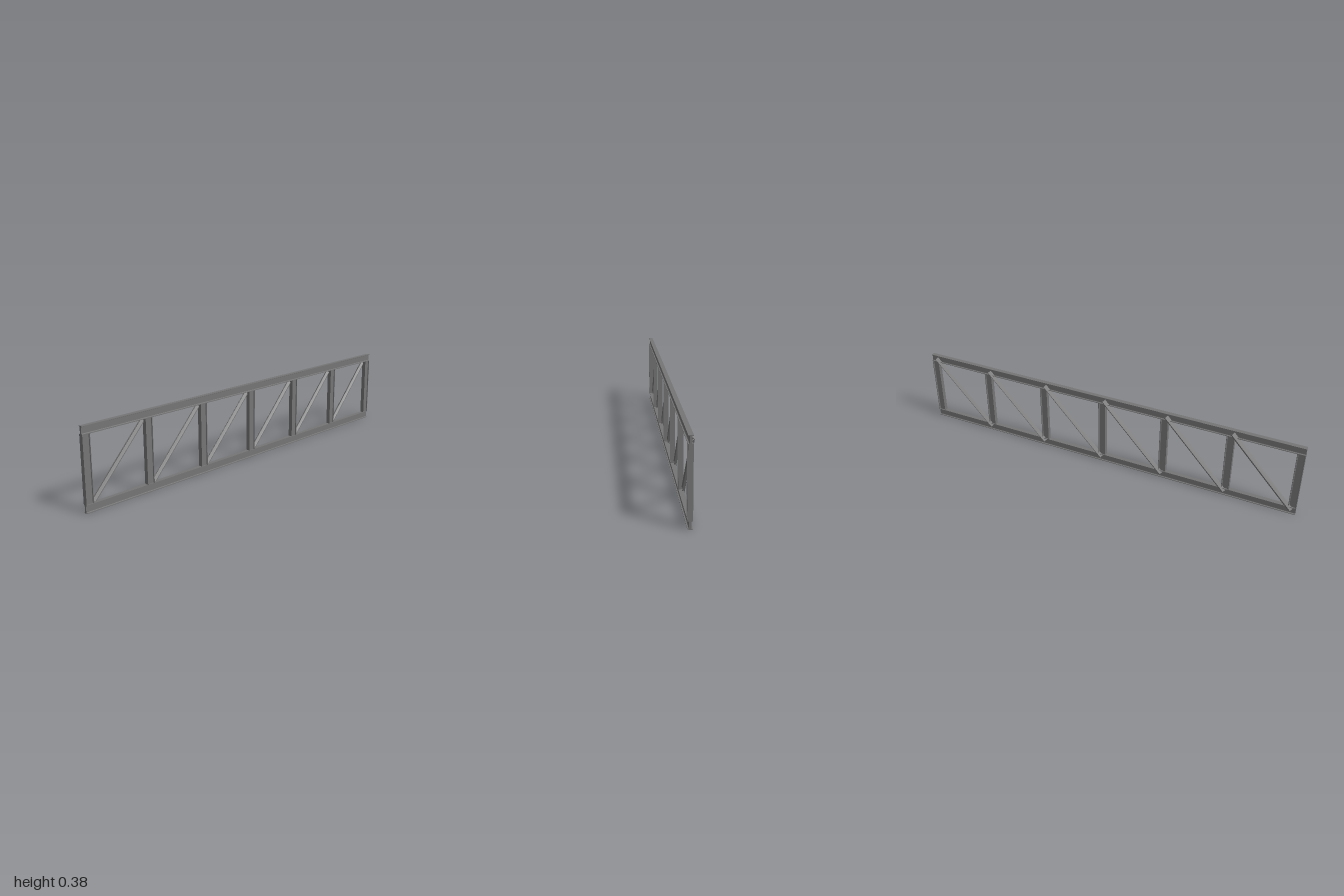
import * as THREE from 'three';

const HEIGHT = 0.381, DEPTH = 0.038, BEAM_Z = 0.0035, BAYS = 6;

// Rolled I-section, centred, flanges at top and bottom, with small fillets.
function beamShape() {
  const h = DEPTH / 2, w = 0.0105, t = 0.003, web = 0.0045, f = 0.0025;
  const quarter = [[w, h], [w, h - t], [web + f, h - t], [web + f * 0.3, h - t - f * 0.3], [web, h - t - f]];
  const right = [...quarter, ...quarter.map(([x, y]) => [x, -y]).reverse()];
  const left = right.map(([x, y]) => [-x, y]).reverse();
  return new THREE.Shape([...right, ...left].map(([x, y]) => new THREE.Vector2(x, y)));
}

// Angle bar: open side against the beam web, ridge pointing to the back.
function angleShape() {
  const w = 0.014, d = 0.0135, t = 0.004;
  return new THREE.Shape([[0, -w], [d, -0.0012], [d, 0.0012], [0, w], [0, w - t], [d - t, 0], [0, t - w]]
    .map(([x, y]) => new THREE.Vector2(x, y)));
}

// Extrudes a section along x, centred.
function bar(shape, length) {
  return new THREE.ExtrudeGeometry(shape, { depth: length, bevelEnabled: false })
    .translate(0, 0, -length / 2).rotateY(Math.PI / 2);
}

export function createModel() {
  const truss = new THREE.Group();
  truss.name = 'truss';
  const steel = new THREE.MeshStandardMaterial({ color: 0x757575 });
  steel.name = 'steel grey';

  const add = (name, geometry, x, y, z, angle = 0) => {
    const mesh = new THREE.Mesh(geometry, steel);
    mesh.name = name;
    mesh.position.set(x, y, z);
    mesh.rotation.z = angle;
    truss.add(mesh);
  };

  // Chords
  const chord = bar(beamShape(), 2);
  add('bottomChord', chord, 0, DEPTH / 2, BEAM_Z);
  add('topChord', chord, 0, HEIGHT - DEPTH / 2, BEAM_Z);

  // Posts between the chords
  const post = bar(beamShape(), HEIGHT - 2 * DEPTH + 0.002);
  const first = -1 + DEPTH / 2, step = -2 * first / BAYS;
  for (let i = 0; i <= BAYS; i++) {
    add('post', post, first + i * step, HEIGHT / 2, BEAM_Z, Math.PI / 2);
  }

  // Diagonals lapped on the back of the chord webs
  const dx = step - 0.012, dy = 0.34;
  const diagonal = bar(angleShape(), Math.hypot(dx, dy));
  for (let i = 0; i < BAYS; i++) {
    add('diagonal', diagonal, first + (i + 0.5) * step, HEIGHT / 2, -0.0005, Math.atan2(dy, dx));
  }
  return truss;
}
